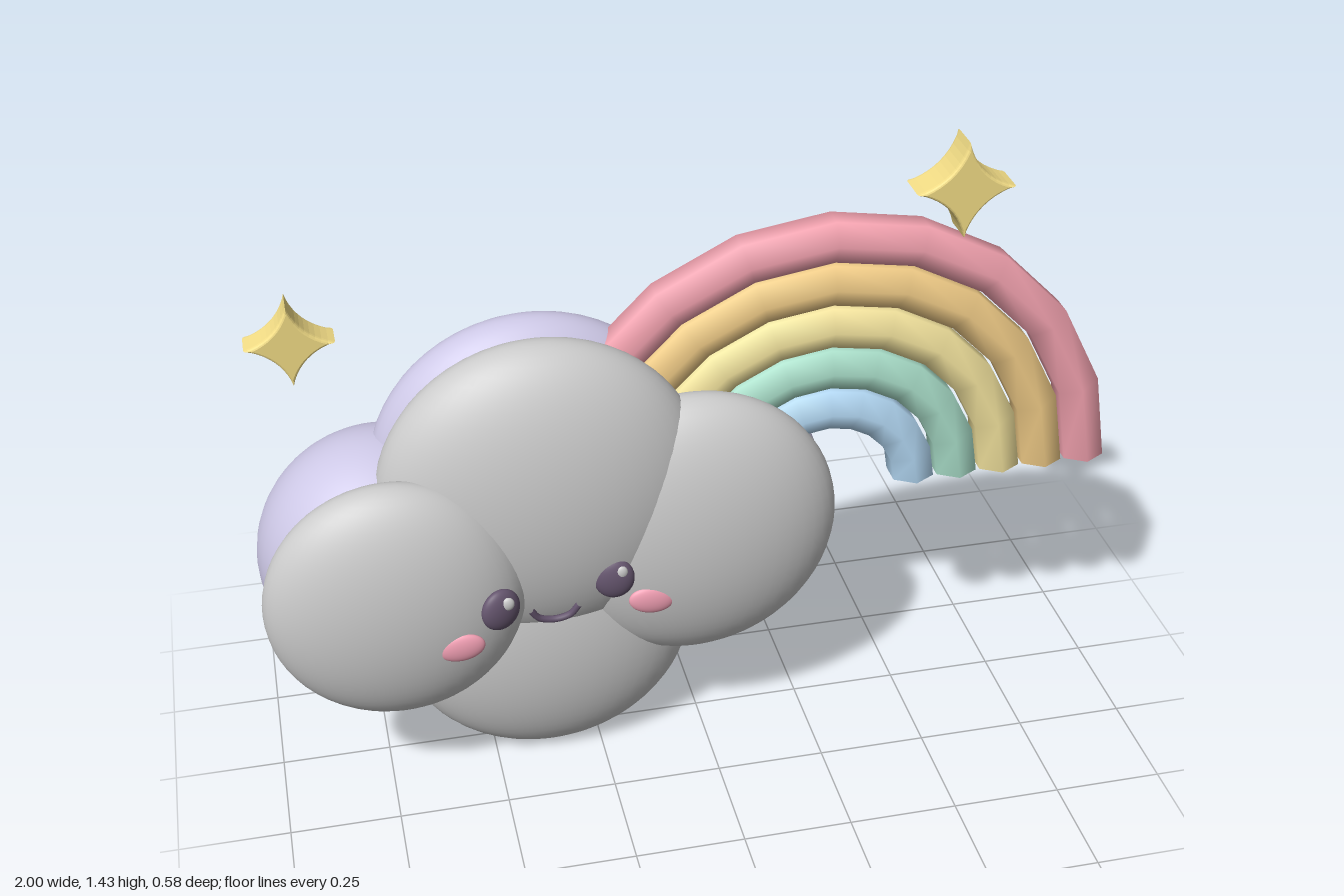
import * as THREE from 'three';
import { mergeVertices } from 'three/addons/utils/BufferGeometryUtils.js';

const mat = (color) => new THREE.MeshStandardMaterial({ color });

function add(parent, name, geometry, material, x = 0, y = 0, z = 0) {
  const mesh = new THREE.Mesh(geometry, material);
  mesh.name = name;
  mesh.position.set(x, y, z);
  parent.add(mesh);
  return mesh;
}

const ball = new THREE.SphereGeometry(1, 48, 32);
function ellipsoid(parent, name, material, [x, y, z], [rx, ry, rz]) {
  const mesh = add(parent, name, ball, material, x, y, z);
  mesh.scale.set(rx, ry, rz);
  return mesh;
}

// Half-ring with a hexagonal section, standing in the xy plane
function archGeometry(radius, tube) {
  const points = [];
  for (let k = 0; k <= 6; k++) {
    const a = Math.PI / 6 + (k * Math.PI) / 3;
    points.push(new THREE.Vector2(radius + tube * Math.cos(a), tube * Math.sin(a)));
  }
  let g = new THREE.LatheGeometry(points, 10, 0, Math.PI);
  g.rotateZ(Math.PI / 2).rotateY(Math.PI / 2);
  g.deleteAttribute('uv');
  g.deleteAttribute('normal');
  g = mergeVertices(g, 1e-4);
  g.computeVertexNormals();
  return g;
}

// Four-pointed star with concave sides and soft edges
function starGeometry(r, depth) {
  const shape = new THREE.Shape();
  const c = r * 0.22;
  shape.moveTo(r, 0);
  shape.quadraticCurveTo(c, c, 0, r);
  shape.quadraticCurveTo(-c, c, -r, 0);
  shape.quadraticCurveTo(-c, -c, 0, -r);
  shape.quadraticCurveTo(c, -c, r, 0);
  const bevel = 0.01;
  const g = new THREE.ExtrudeGeometry(shape, {
    depth: depth - 2 * bevel, curveSegments: 10, bevelEnabled: true,
    bevelThickness: bevel, bevelSize: 0.006, bevelOffset: -0.006, bevelSegments: 3,
  });
  return g.translate(0, 0, bevel - depth / 2);
}

export function createModel() {
  const model = new THREE.Group();
  model.name = 'cloudWithRainbow';

  // Cloud: a front layer and a tinted back layer of flattened puffs
  const front = mat(0xcccccc);
  const back = mat(0xcdc8e6);
  const puffs = [
    // name, x, y, rx, ry, front [z, rz], back [z, rz]
    ['top', -0.365, 0.733, 0.37, 0.37, [0.07, 0.155], [-0.05, 0.155]],
    ['bottom', -0.365, 0.35, 0.345, 0.345, [0.03, 0.135], [-0.085, 0.14]],
    ['right', -0.712, 0.555, 0.288, 0.295, [0.168, 0.122], [-0.04, 0.252]],
    ['left', -0.025, 0.595, 0.335, 0.335, [0.075, 0.135], [-0.053, 0.132]],
  ];
  const cloud = new THREE.Group();
  cloud.name = 'cloud';
  model.add(cloud);
  for (const [name, x, y, rx, ry, f, b] of puffs) {
    ellipsoid(cloud, name + 'FrontPuff', front, [x, y, f[0]], [rx, ry, f[1]]);
    ellipsoid(cloud, name + 'BackPuff', back, [x, y, b[0]], [rx, ry, b[1]]);
  }

  // Face: eyes with highlights, cheeks and a smile
  const face = new THREE.Group();
  face.name = 'face';
  model.add(face);
  const dark = mat(0x66566f);
  const shine = mat(0xcccccc);
  const blush = mat(0xf2a0b4);
  const sides = [
    ['right', -0.493, 0.255, 0.35, -0.585, 0.272, 0.1],
    ['left', -0.23, 0.193, -0.1, -0.145, 0.19, -0.15],
  ];
  for (const [side, ex, ez, turn, cx, cz, tilt] of sides) {
    const eye = ellipsoid(face, side + 'Eye', dark, [ex, 0.553, ez], [0.046, 0.051, 0.022]);
    eye.rotation.y = turn;
    ellipsoid(face, side + 'EyeHighlight', shine,
      [ex + 0.015, 0.575, ez + 0.014], [0.014, 0.016, 0.008]);
    const cheek = ellipsoid(face, side + 'Cheek', blush, [cx, 0.477, cz], [0.052, 0.034, 0.014]);
    cheek.rotation.z = tilt;
  }
  const smileCurve = new THREE.CatmullRomCurve3([
    new THREE.Vector3(-0.42, 0.492, 0.19),
    new THREE.Vector3(-0.4, 0.464, 0.184),
    new THREE.Vector3(-0.365, 0.453, 0.18),
    new THREE.Vector3(-0.33, 0.464, 0.184),
    new THREE.Vector3(-0.31, 0.492, 0.19),
  ]);
  add(face, 'smile', new THREE.TubeGeometry(smileCurve, 24, 0.008, 8), dark);

  // Rainbow: five nested arches with flat ends
  const rainbow = new THREE.Group();
  rainbow.name = 'rainbow';
  rainbow.position.set(0.31, 0.6, -0.013);
  model.add(rainbow);
  const tube = 0.056;
  const cap = new THREE.CircleGeometry(tube, 6).rotateZ(Math.PI / 2).rotateX(Math.PI / 2).rotateY(Math.PI / 2);
  [0xf4a3b0, 0xf2cd88, 0xf5e59f, 0xaadfca, 0xb3d8f4].forEach((color, i) => {
    const material = mat(color);
    const radius = 0.635 - i * 0.106;
    add(rainbow, 'arch' + (i + 1), archGeometry(radius, tube), material);
    for (const s of [-1, 1]) add(rainbow, 'archEnd', cap, material, s * radius);
  });

  // Stars
  const gold = mat(0xf3dd86);
  add(model, 'smallStar', starGeometry(0.096, 0.072), gold, -0.875, 1.105, -0.05);
  add(model, 'largeStar', starGeometry(0.113, 0.09), gold, 0.61, 1.318, -0.045);

  return model;
}
